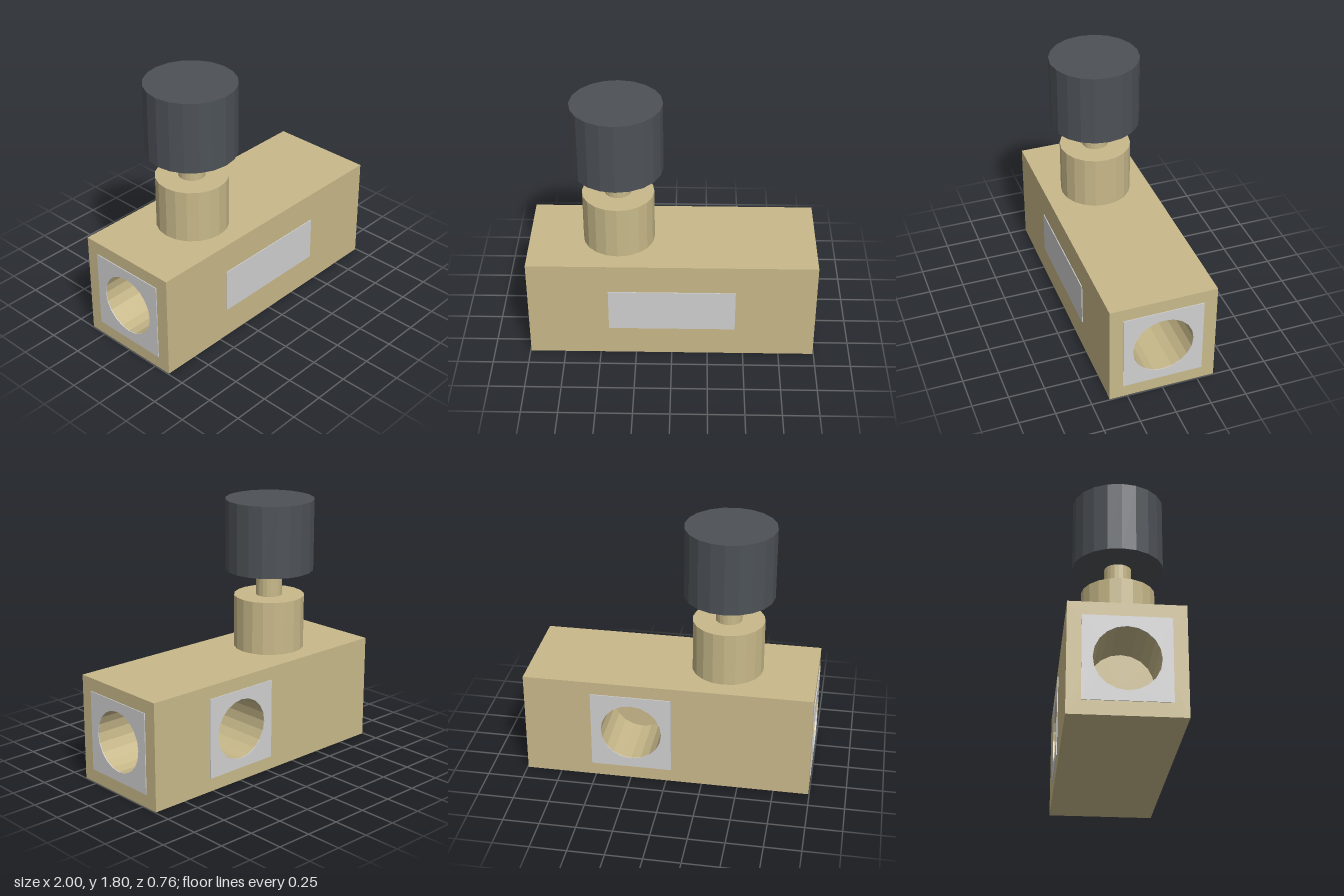
import * as THREE from 'three';

const SIDES = 20;
const L = 0.994, H = 0.745, D = 0.372; // body half length, height, half depth
const MID = 0.374;                     // port centre height
const BORE_R = 0.212, BORE_DEPTH = 0.42, PLATE = 0.28, T = 0.006;

// unshared vertices give each facet its own normal
function facet(geometry) {
  const g = geometry.index ? geometry.toNonIndexed() : geometry;
  g.computeVertexNormals();
  return g;
}

function rect(x0, y0, x1, y1) {
  return new THREE.Shape([
    new THREE.Vector2(x0, y0), new THREE.Vector2(x1, y0),
    new THREE.Vector2(x1, y1), new THREE.Vector2(x0, y1),
  ]);
}

function roundHole(cx, cy) {
  const pts = [];
  for (let i = 0; i < SIDES; i++) {
    const a = (-i / SIDES) * Math.PI * 2;
    pts.push(new THREE.Vector2(cx + BORE_R * Math.cos(a), cy + BORE_R * Math.sin(a)));
  }
  return new THREE.Path(pts);
}

export function createModel() {
  const brass = new THREE.MeshStandardMaterial({ color: 0xc8b98a });
  brass.name = 'brass';
  const silver = new THREE.MeshStandardMaterial({ color: 0xd0d0d0 });
  silver.name = 'silver';
  const charcoal = new THREE.MeshStandardMaterial({ color: 0x4d5257 });
  charcoal.name = 'charcoal';

  const model = new THREE.Group();
  model.name = 'needleValve';

  function add(parent, name, geometry, material) {
    const mesh = new THREE.Mesh(facet(geometry), material);
    mesh.name = name;
    parent.add(mesh);
    return mesh;
  }

  // One side of the block, facing +z before turning; an optional bored port with its plate
  function side(name, halfWidth, distance, turn, portX) {
    const group = new THREE.Group();
    group.name = name;
    const wall = rect(-halfWidth, 0, halfWidth, H);
    if (portX !== undefined) {
      wall.holes.push(roundHole(portX, MID));

      const plate = rect(portX - PLATE, MID - PLATE, portX + PLATE, MID + PLATE);
      plate.holes.push(roundHole(portX, MID));
      const plateGeo = new THREE.ExtrudeGeometry(plate, { depth: T, bevelEnabled: false });
      add(group, 'portPlate', plateGeo.translate(0, 0, distance), silver);

      // blind hole: inward-facing wall and flat floor
      const bore = new THREE.LatheGeometry([
        new THREE.Vector2(BORE_R, 0),
        new THREE.Vector2(BORE_R, -BORE_DEPTH),
        new THREE.Vector2(0, -BORE_DEPTH),
      ], SIDES);
      bore.rotateX(Math.PI / 2).translate(portX, MID, distance);
      add(group, 'portBore', bore, brass);
    }
    add(group, 'bodyWall', new THREE.ShapeGeometry(wall).translate(0, 0, distance), brass);
    group.rotation.y = turn;
    model.add(group);
  }

  // Block: plain front, one port at the back and one at each end
  side('bodyFront', L, D, 0);
  side('bodyBack', L, D, Math.PI, -0.246);
  side('bodyLeftEnd', D, L, Math.PI / 2, 0);
  side('bodyRightEnd', D, L, -Math.PI / 2, 0);
  add(model, 'bodyTop',
    new THREE.PlaneGeometry(2 * L, 2 * D).rotateX(-Math.PI / 2).translate(0, H, 0), brass);
  add(model, 'bodyBottom',
    new THREE.PlaneGeometry(2 * L, 2 * D).rotateX(Math.PI / 2), brass);

  // Blank nameplate on the front
  add(model, 'frontPlate',
    new THREE.BoxGeometry(0.876, 0.314, T).translate(0, 0.377, D + T / 2), silver);

  // Bonnet, stem and knob stacked on one axis
  const stack = [
    ['bonnet', 0.248, H, 1.12, brass],
    ['stem', 0.092, 1.12, 1.307, brass],
    ['knob', 0.31, 1.307, 1.804, charcoal],
  ];
  for (const [name, r, y0, y1, material] of stack) {
    const g = new THREE.CylinderGeometry(r, r, y1 - y0, SIDES);
    add(model, name, g.translate(-0.373, (y0 + y1) / 2, 0), material);
  }
  return model;
}
